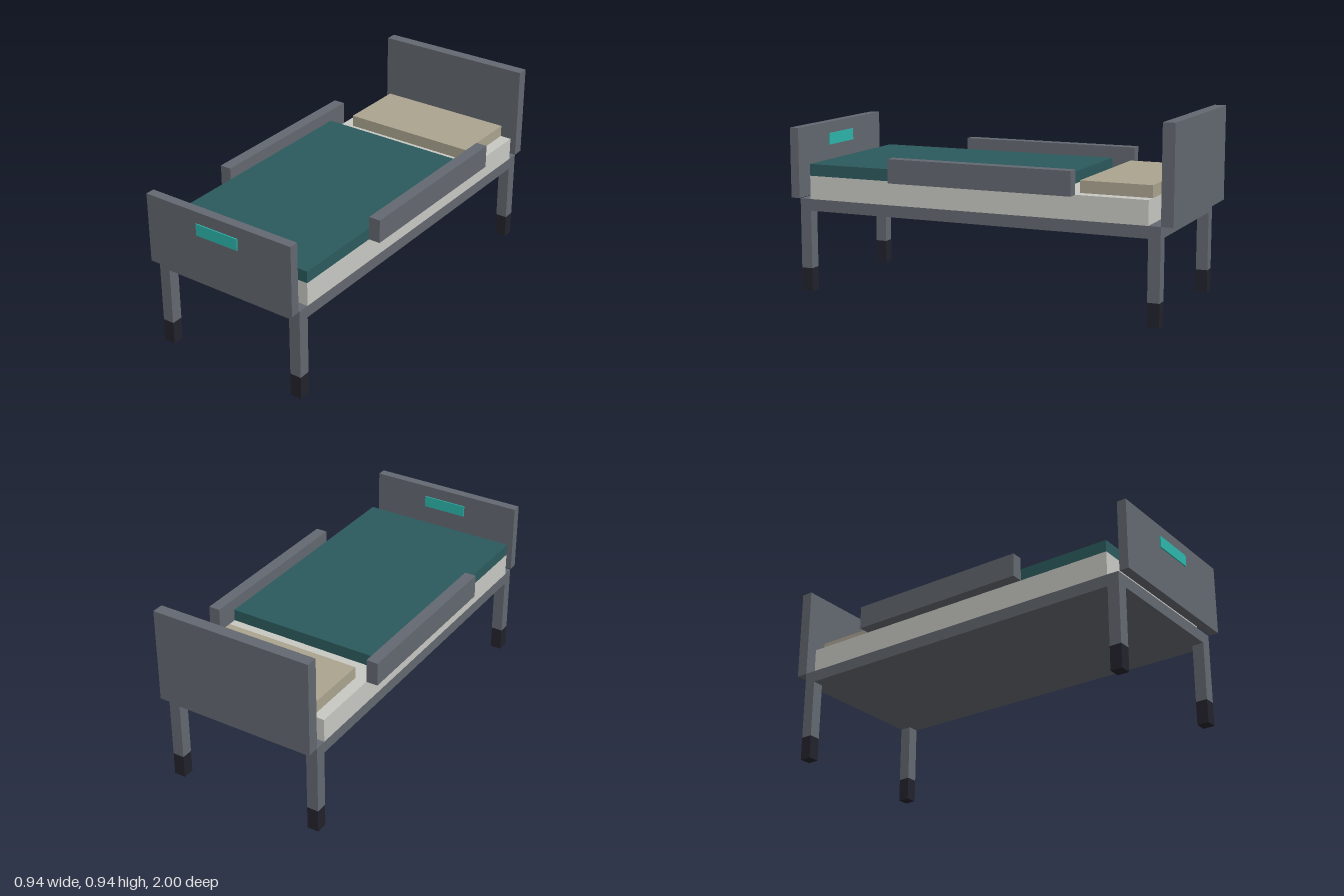
import * as THREE from 'three';

const U = 1 / 17; // the bed is laid out on a grid, 34 units long

function material(name, color) {
  const m = new THREE.MeshStandardMaterial({ color });
  m.name = name;
  return m;
}

export function createModel() {
  const grey = material('grey frame', 0x636870);
  const dark = material('dark feet', 0x22222c);
  const white = material('off-white mattress', 0xc8c8c3);
  const green = material('deep teal blanket', 0x2c5a5d);
  const beige = material('beige pillow', 0xaba490);
  const teal = material('bright teal plate', 0x2db6ac);

  const bed = new THREE.Group();
  bed.name = 'bed';

  // Box between two corners, in grid units
  function box(name, mat, [x0, x1], [y0, y1], [z0, z1]) {
    const geometry = new THREE.BoxGeometry((x1 - x0) * U, (y1 - y0) * U, (z1 - z0) * U);
    const mesh = new THREE.Mesh(geometry, mat);
    mesh.name = name;
    mesh.position.set((x0 + x1) / 2 * U, (y0 + y1) / 2 * U, (z0 + z1) / 2 * U);
    bed.add(mesh);
  }

  // Base and bedding
  box('frame', grey, [-7, 7], [7, 8], [-16, 16]);
  box('mattress', white, [-7, 7], [8, 10], [-15, 15]);
  box('blanket', green, [-7, 7], [10, 11], [-7, 15]);
  box('pillow', beige, [-6, 6], [10, 11], [-15, -9]);

  // End boards, with a plate showing on both faces of the footboard
  box('headboard', grey, [-7, 7], [8, 16], [-17, -16]);
  box('footboard', grey, [-7, 7], [8, 14], [16.1, 16.9]);
  box('footboardPlate', teal, [-2, 2], [12, 13], [16, 17]);

  for (const [side, s] of [['left', 1], ['right', -1]]) {
    const span = (a, b) => (s > 0 ? [a, b] : [-b, -a]);
    // Side rails
    box(`${side}Rail`, grey, span(7, 8), [10, 12], [-9, 7]);
    // Legs with dark feet
    for (const [end, z] of [['Front', [15, 16]], ['Back', [-16, -15]]]) {
      box(`${side}${end}Leg`, grey, span(6, 7), [2, 7], z);
      box(`${side}${end}Foot`, dark, span(6, 7), [0, 2], z);
    }
  }
  return bed;
}
